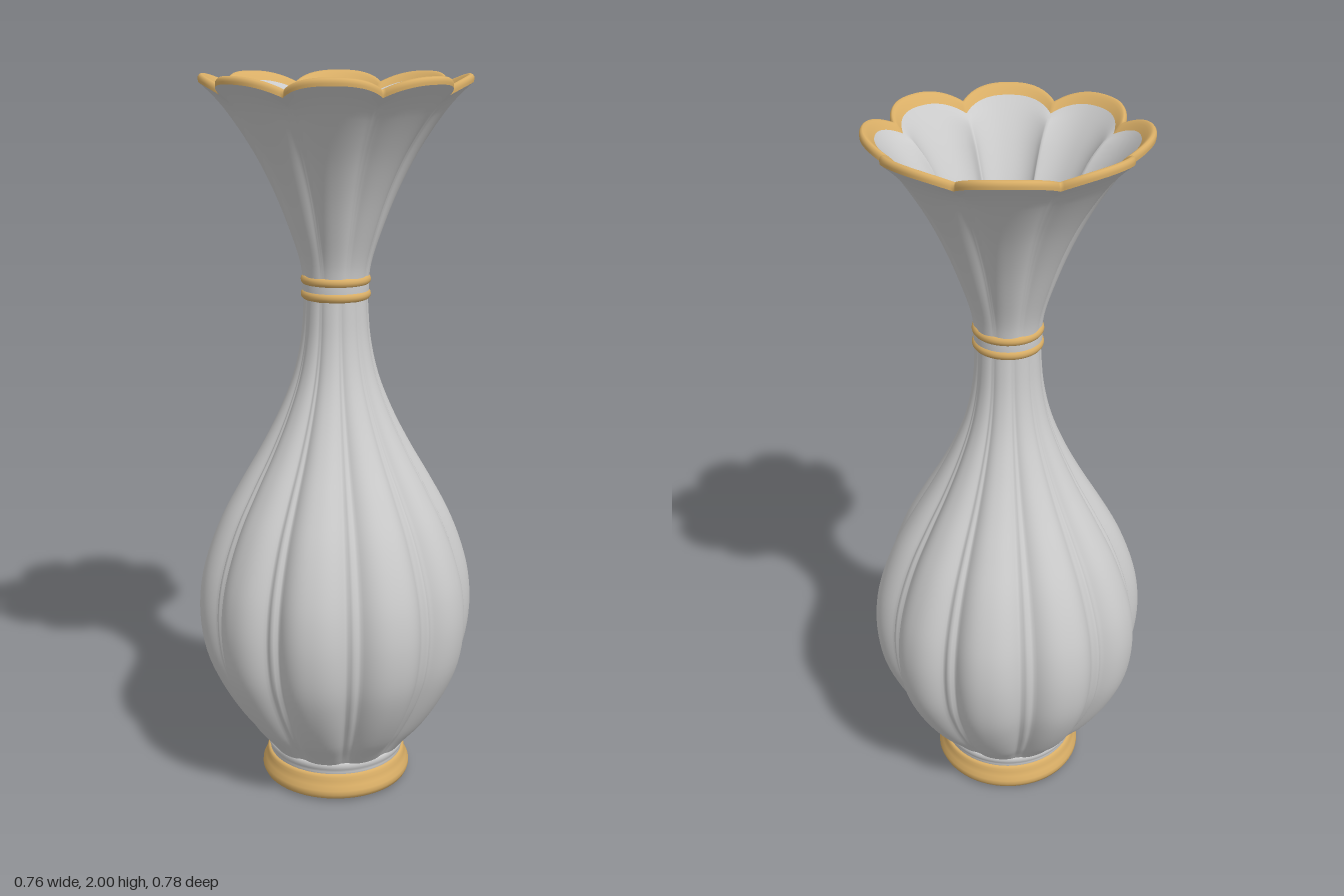
import * as THREE from 'three';

const white = new THREE.MeshStandardMaterial({ color: 0xcccccc, side: THREE.DoubleSide });
const gold = new THREE.MeshStandardMaterial({ color: 0xd9ae66 });
const N = 320;

// Lobed surface through key rings [radius, y, valley depth, valley rib, valley dip];
// depth and rib are fractions of the radius
function loft(name, material, lobes, keys, rows) {
  const ringCurve = new THREE.CatmullRomCurve3(keys.map(k => new THREE.Vector3(k[0], k[1], k[2] ?? 0)), false, 'centripetal');
  const ribCurve = new THREE.CatmullRomCurve3(keys.map(k => new THREE.Vector3(k[3] ?? 0, k[4] ?? 0, 0)));
  const pos = [], index = [];
  for (let i = 0; i <= rows; i++) {
    const t = i / rows;
    const { x: r, y, z: depth } = ringCurve.getPoint(t);
    // extras follow the same key spacing, linearly
    const f = t * (keys.length - 1), k = Math.min(Math.floor(f), keys.length - 2), w = f - k;
    const mix = c => (keys[k][c] ?? 0) * (1 - w) + (keys[k + 1][c] ?? 0) * w;
    const rib = mix(3), dip = mix(4);
    for (let j = 0; j < N; j++) {
      const a = j / N * Math.PI * 2;
      const q = j / N * lobes;
      const u = Math.abs(q - Math.round(q)) * 2;           // 0 on the lobe, 1 in the valley
      const s = Math.pow(u, 2.5);
      const rr = r * (1 - depth * s + rib * Math.exp(-(((1 - u) / 0.1) ** 2)));
      pos.push(rr * Math.sin(a), y - dip * s, rr * Math.cos(a));
      if (i < rows) {
        const p = i * N + j, n = i * N + (j + 1) % N;
        index.push(p, n, n + N, p, n + N, p + N);
      }
    }
  }
  const g = new THREE.BufferGeometry();
  g.setAttribute('position', new THREE.Float32BufferAttribute(pos, 3));
  g.setIndex(index);
  g.computeVertexNormals();
  const m = new THREE.Mesh(g, material);
  m.name = name;
  return m;
}

function lathe(name, material, points) {
  const m = new THREE.Mesh(new THREE.LatheGeometry(points.map(p => new THREE.Vector2(...p)), 64), material);
  m.name = name;
  return m;
}

export function createModel() {
  const vase = new THREE.Group();
  vase.name = 'vase';

  // Ten-lobed belly tapering into the neck, with a slim rib in each valley
  vase.add(loft('body', white, 10, [
    [0.185, 0.09, 0.02, 0], [0.225, 0.14, 0.08, 0.03], [0.275, 0.2, 0.13, 0.06],
    [0.335, 0.3, 0.15, 0.08], [0.375, 0.4, 0.15, 0.08], [0.39, 0.51, 0.15, 0.08],
    [0.383, 0.61, 0.15, 0.08], [0.36, 0.7, 0.15, 0.08], [0.32, 0.8, 0.15, 0.08],
    [0.266, 0.9, 0.15, 0.08], [0.208, 1.0, 0.14, 0.07], [0.157, 1.1, 0.12, 0.06],
    [0.118, 1.2, 0.1, 0.05], [0.096, 1.3, 0.08, 0.03], [0.088, 1.4, 0.06, 0.02], [0.086, 1.47, 0.04, 0],
  ], 60));

  // Eight-petalled flared mouth: outside, gilded lip, inside
  vase.add(loft('mouthOutside', white, 8, [
    [0.086, 1.44, 0.02, 0, 0], [0.096, 1.51, 0.06, 0.02, 0], [0.125, 1.6, 0.1, 0.03, 0],
    [0.165, 1.7, 0.12, 0.03, 0], [0.216, 1.8, 0.12, 0.03, 0], [0.282, 1.9, 0.12, 0.02, 0.01],
    [0.32, 1.945, 0.12, 0, 0.02], [0.357, 1.98, 0.12, 0, 0.03],
  ], 28));
  vase.add(loft('mouthLip', gold, 8, [
    [0.357, 1.98, 0.12, 0, 0.03], [0.357, 1.993, 0.12, 0, 0.03], [0.349, 2.0, 0.12, 0, 0.03],
    [0.336, 1.991, 0.12, 0, 0.03], [0.322, 1.975, 0.12, 0, 0.03],
  ], 8));
  vase.add(loft('mouthInside', white, 8, [
    [0.322, 1.975, 0.12, 0, 0.03], [0.29, 1.935, 0.13, 0, 0.01], [0.25, 1.88, 0.13, -0.01, 0],
    [0.195, 1.79, 0.12, -0.02, 0], [0.148, 1.69, 0.1, -0.07, 0], [0.108, 1.59, 0.06, -0.08, 0],
    [0.08, 1.5, 0.02, 0, 0], [0.065, 1.45, 0, 0, 0],
  ], 24));
  const floor = new THREE.Mesh(new THREE.CircleGeometry(0.067, 48), white);
  floor.rotation.x = -Math.PI / 2;
  floor.position.y = 1.45;
  floor.name = 'mouthFloor';
  vase.add(floor);

  // Two gilded rings round the neck with a white band between
  for (const y of [1.425, 1.465]) {
    const ring = new THREE.Mesh(new THREE.TorusGeometry(0.081, 0.014, 14, 64), gold);
    ring.rotation.x = Math.PI / 2;
    ring.position.y = y;
    ring.name = 'neckRing';
    vase.add(ring);
  }
  vase.add(lathe('neckBand', white, [[0.088, 1.415], [0.09, 1.43], [0.09, 1.46], [0.088, 1.475]]));

  // White collar above the gilded foot
  vase.add(lathe('collar', white, [
    [0.185, 0.065], [0.195, 0.07], [0.191, 0.08], [0.196, 0.09], [0.199, 0.1], [0.196, 0.11], [0.185, 0.116],
  ]));
  vase.add(lathe('foot', gold, [
    [0, 0.003], [0.2, 0.003], [0.211, 0.008], [0.216, 0.02], [0.215, 0.032], [0.208, 0.045],
    [0.203, 0.058], [0.202, 0.068], [0.197, 0.075], [0.18, 0.077],
  ]));
  const base = new THREE.Mesh(new THREE.CircleGeometry(0.195, 5), white);
  base.rotation.x = Math.PI / 2;
  base.name = 'basePlate';
  vase.add(base);

  return vase;
}
